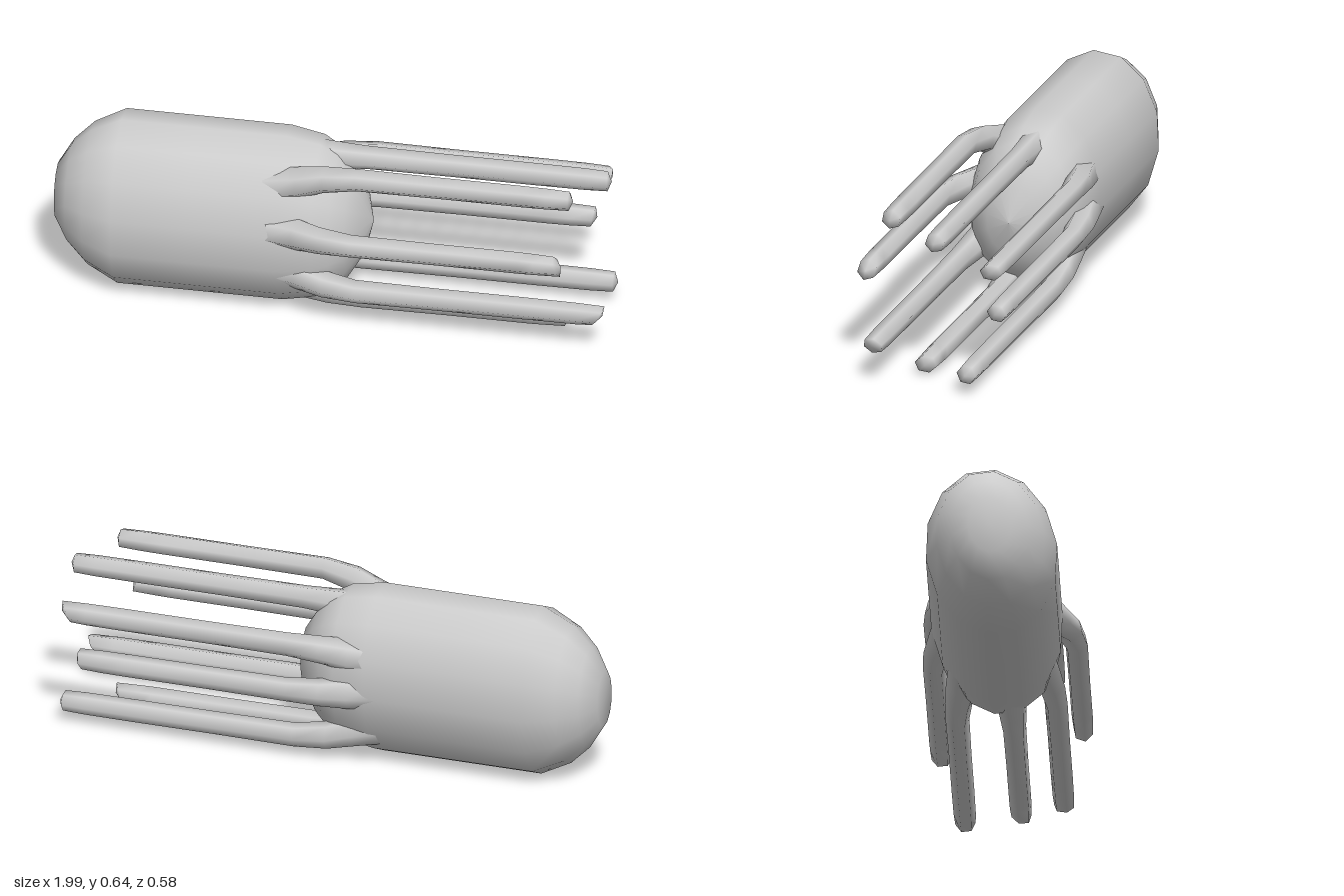
import * as THREE from 'three';

const material = new THREE.MeshStandardMaterial({ color: 0xcccccc });
const CENTER = { y: 0.327, z: -0.02 };
const HALF = { y: 0.322, z: 0.232 };

// Oval capsule lying along x, with a rounded underside facing +x
function bodyGeometry() {
  const profile = [
    [0, -1], [0.33, -1], [0.6, -0.95], [0.82, -0.88], [1, -0.77], [1, -0.5], [1, -0.18],
    [0.93, -0.06], [0.82, 0], [0.66, 0.05], [0.4, 0.1], [0, 0.13],
  ].map(([r, x]) => new THREE.Vector2(r, x));
  return new THREE.LatheGeometry(profile, 14)
    .rotateZ(-Math.PI / 2)
    .scale(1, HALF.y, HALF.z)
    .rotateX(-0.12)
    .translate(0, CENTER.y, CENTER.z);
}

// Six-sided arm: flared root inside the body, straight run, slanted blunt tip
function armGeometry({ y, z, end, slantY, slantZ }) {
  const SIDES = 6;
  const dy = y - CENTER.y, dz = z - CENTER.z;
  const root = 0.72 / Math.hypot(dy / HALF.y, dz / HALF.z);
  // x, blend from root to outer line, radius
  const rings = [
    [-0.24, 0, 0.06], [-0.12, 0.35, 0.06], [-0.02, 0.78, 0.05], [0.1, 1, 0.042],
    [0.4, 1, 0.04], [0.7, 1, 0.04], [end - 0.1, 1, 0.039], [end - 0.02, 1, 0.036],
  ];
  const positions = [], index = [];
  rings.forEach(([x, blend, r], i) => {
    const k = THREE.MathUtils.lerp(root, 1, blend);
    const slant = i === rings.length - 1 ? 1 : 0;
    for (let j = 0; j < SIDES; j++) {
      const a = (j / SIDES) * Math.PI * 2 + y * 5;
      const oy = Math.cos(a) * r, oz = Math.sin(a) * r;
      positions.push(x + slant * (oy * slantY + oz * slantZ), CENTER.y + dy * k + oy, CENTER.z + dz * k + oz);
      if (i > 0) {
        const p = (i - 1) * SIDES, q = i * SIDES, n = (j + 1) % SIDES;
        index.push(p + j, p + n, q + j, p + n, q + n, q + j);
      }
    }
  });
  const apex = rings.length * SIDES, last = apex - SIDES;
  positions.push(end - 0.005, y, z);
  for (let j = 0; j < SIDES; j++) index.push(last + j, last + ((j + 1) % SIDES), apex);
  const geometry = new THREE.BufferGeometry();
  geometry.setAttribute('position', new THREE.Float32BufferAttribute(positions, 3));
  geometry.setIndex(index);
  geometry.computeVertexNormals();
  return geometry;
}

export function createModel() {
  const model = new THREE.Group();
  model.name = 'squid';

  const body = new THREE.Mesh(bodyGeometry(), material);
  body.name = 'body';
  model.add(body);

  // Eight arms spaced around the rim
  const arms = [
    { y: 0.59, z: 0.15, end: 0.88, slantY: 0, slantZ: 0 },
    { y: 0.565, z: -0.05, end: 0.98, slantY: 0, slantZ: 0.1 },
    { y: 0.467, z: -0.247, end: 0.945, slantY: 0.4, slantZ: 0.4 },
    { y: 0.378, z: 0.25, end: 0.855, slantY: -0.4, slantZ: 0 },
    { y: 0.293, z: -0.248, end: 0.89, slantY: 0.2, slantZ: 0 },
    { y: 0.15, z: 0.178, end: 0.99, slantY: 0.6, slantZ: 0 },
    { y: 0.084, z: -0.168, end: 0.98, slantY: 0, slantZ: 0 },
    { y: 0.046, z: 0.033, end: 0.845, slantY: 0.3, slantZ: 0.4 },
  ];
  arms.forEach((spec, i) => {
    const arm = new THREE.Mesh(armGeometry(spec), material);
    arm.name = `arm${i + 1}`;
    model.add(arm);
  });
  return model;
}
